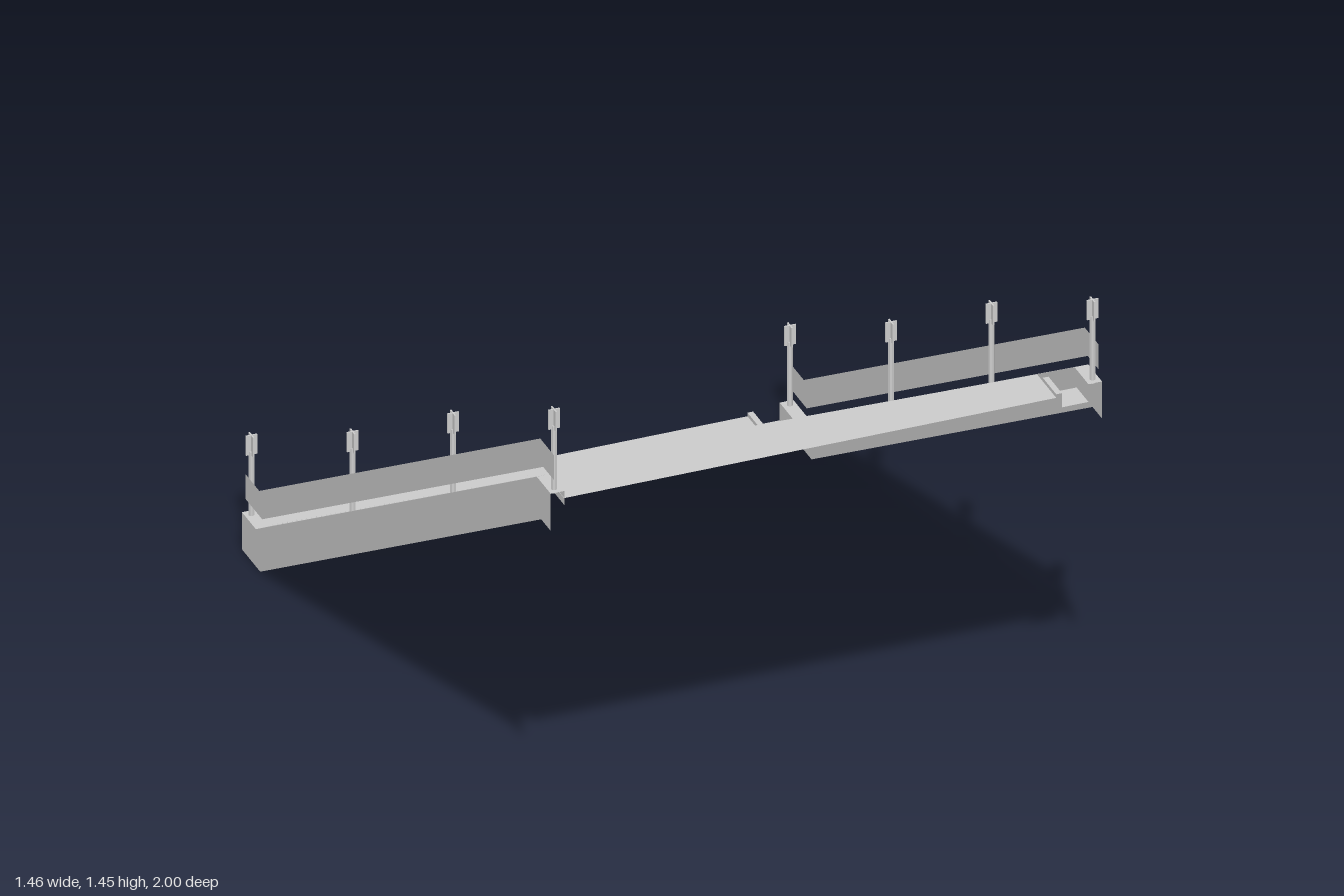
import * as THREE from 'three';

const material = new THREE.MeshStandardMaterial({ color: 0xcccccc, flatShading: true, side: THREE.DoubleSide });

function add(parent, name, geometry, x = 0, y = 0, z = 0) {
  const mesh = new THREE.Mesh(geometry, material);
  mesh.name = name;
  mesh.position.set(x, y, z);
  parent.add(mesh);
  return mesh;
}

// Thin folded sheet: rows of cross-sections, each a list of [x, y, z]
function sheet(rows) {
  const n = rows[0].length, index = [];
  for (let i = 0; i < rows.length - 1; i++) {
    for (let j = 0; j < n - 1; j++) {
      const a = i * n + j, b = a + n;
      index.push(a, a + 1, b, b, a + 1, b + 1);
    }
  }
  const g = new THREE.BufferGeometry();
  g.setAttribute('position', new THREE.Float32BufferAttribute(rows.flat(2), 3));
  g.setIndex(index);
  const flat = g.toNonIndexed();
  flat.computeVertexNormals();
  return flat;
}

// Stair line with level ends; bends are mitred as a fold drops below the line
const BEND = 0.91, LOW = 0.105, HIGH = 1.225;
function alongStairs(section, lift = 0) {
  const stations = [[1, HIGH, 0], [BEND, HIGH, 0.27], [-BEND, LOW, 0.27], [-1, LOW, 0]];
  return sheet(stations.map(([z, y, mitre]) =>
    section.map(([x, drop]) => [x, y + lift - drop, z + mitre * drop])));
}

const stairY = z => THREE.MathUtils.clamp(
  THREE.MathUtils.mapLinear(z, -BEND, BEND, LOW, HIGH), LOW, HIGH);

// Pleated sheet of treads and risers with a landing at each end
function stepsGeometry() {
  const count = 58, z0 = -0.92, z1 = 0.875, y0 = 0.085, y1 = 1.205;
  const profile = [[-1, y0]];
  for (let i = 0; i < count; i++) {
    const z = z0 + (z1 - z0) * i / (count - 1);
    profile.push([z, y0 + (y1 - y0) * i / count], [z, y0 + (y1 - y0) * (i + 1) / count]);
  }
  profile.push([1, y1]);
  return sheet(profile.map(([z, y]) => [[-0.693, y, z], [0.607, y, z]]));
}

export function createModel() {
  const model = new THREE.Group();
  model.name = 'staircase';

  add(model, 'steps', stepsGeometry());

  // Plain side beam: short inner lip, top flange, deep outer wall
  add(model, 'rightStringer', alongStairs([[-0.692, 0.04], [-0.692, 0], [-0.728, 0], [-0.728, 0.105]]));

  // Other side beam, and the sunken gutter between it and the steps
  add(model, 'leftStringer', alongStairs([[0.692, 0.05], [0.692, 0], [0.728, 0], [0.728, 0.105]]));
  add(model, 'gutter', alongStairs([[0.607, 0.06], [0.607, 0.01], [0.622, 0.01], [0.622, 0.05], [0.692, 0.05]]));

  // Railing bands and their posts
  const poleGeometry = new THREE.CylinderGeometry(0.0075, 0.0075, 0.19, 8);
  const plateGeometry = new THREE.BoxGeometry(0.03, 0.055, 0.004);
  for (const side of [-1, 1]) {
    const railing = new THREE.Group();
    railing.name = side > 0 ? 'leftRailing' : 'rightRailing';
    model.add(railing);
    add(railing, 'railBand', alongStairs([[side * 0.719, 0], [side * 0.719, 0.07]], 0.106));

    for (const z of [-0.98, -0.325, 0.325, 0.98]) {
      const post = new THREE.Group();
      post.name = 'post';
      post.position.set(side * 0.711, stairY(z), z);
      railing.add(post);
      add(post, 'pole', poleGeometry, 0, 0.085, 0);
      // Post head of two crossed plates
      for (const turn of [0, Math.PI / 2]) {
        add(post, 'postHead', plateGeometry, 0, 0.1975, 0).rotation.y = turn;
      }
    }
  }
  return model;
}
